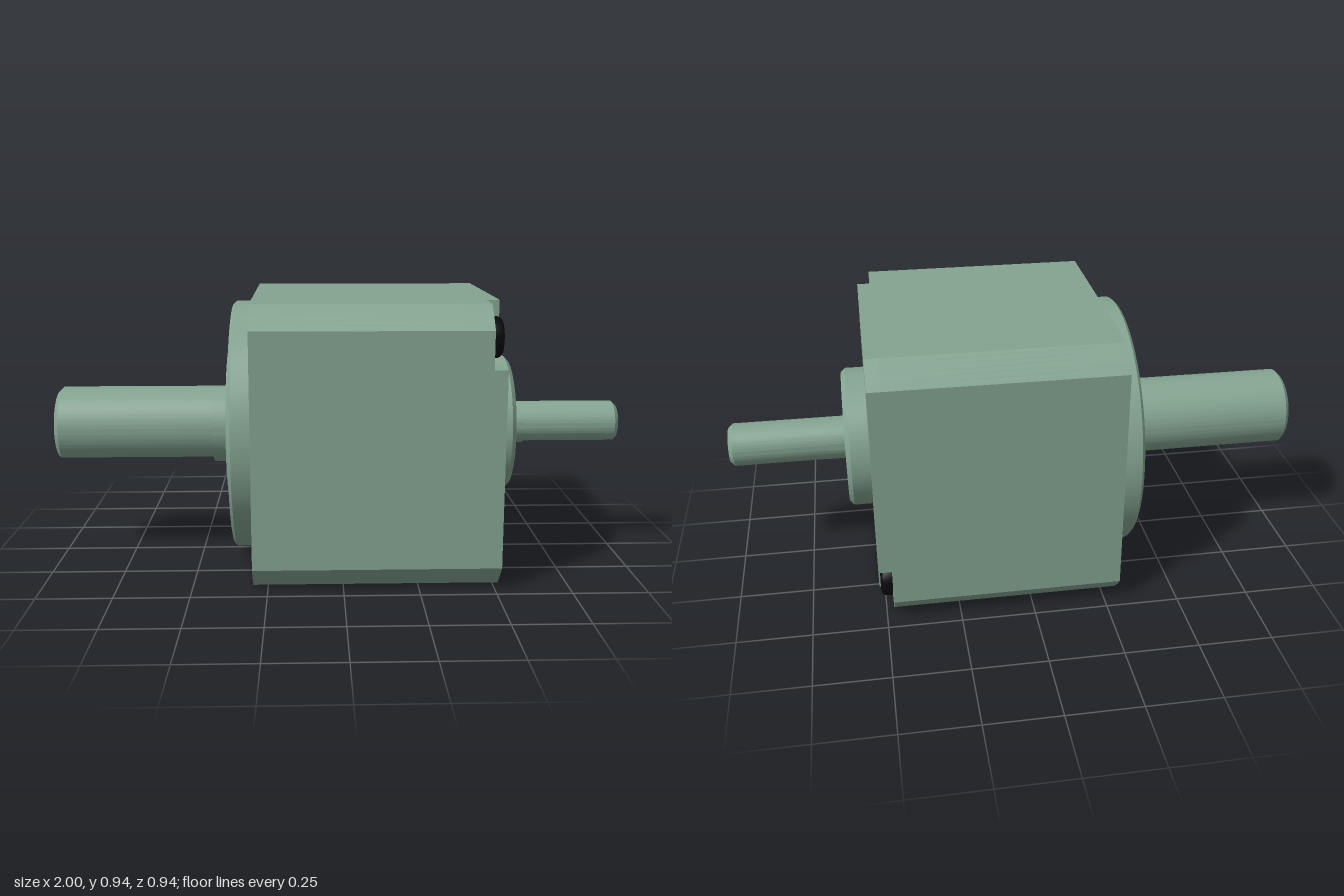
import * as THREE from 'three';
import { toCreasedNormals } from 'three/addons/utils/BufferGeometryUtils.js';

const AXIS = 0.469;   // shaft height, also half the housing width
const CORNER = 0.357; // corner hole offset from the axis
const green = new THREE.MeshStandardMaterial({ color: 0x84a491 });
const black = new THREE.MeshStandardMaterial({ color: 0x0a0a0a });

function part(name, geo, material = green) {
  const mesh = new THREE.Mesh(toCreasedNormals(geo, 0.5), material);
  mesh.name = name;
  return mesh;
}

// Turned part around the x axis; points are [x, radius] with x rising
function turned(points, segments = 96) {
  const geo = new THREE.LatheGeometry(points.map(([x, r]) => new THREE.Vector2(r, x)), segments);
  return geo.rotateZ(-Math.PI / 2);
}

// Shape in the (-z, y) plane, extruded from x0 to x1
function slab(shape, x0, x1) {
  const geo = new THREE.ExtrudeGeometry(shape, { depth: x1 - x0, bevelEnabled: false, curveSegments: 48 });
  return geo.rotateY(Math.PI / 2).translate(x0, 0, 0);
}

// Press every vertex below the given height up onto a flat
function cutFlat(geo, height) {
  const p = geo.attributes.position;
  for (let i = 0; i < p.count; i++) p.setY(i, Math.max(p.getY(i), height));
  return geo;
}

function hole(x, y, r) {
  return new THREE.Path().absarc(x, y, r, 0, Math.PI * 2, true);
}

// Square with arc-cut corners; optionally two opposite corners are notched
function housingShape(notched) {
  const pts = [];
  const a0 = Math.atan2(0.392, AXIS), R = Math.hypot(0.392, AXIS), r = 0.09;
  for (let q = 0; q < 4; q++) {
    const corner = [];
    if (notched && q % 2 === 1) {
      corner.push([AXIS, CORNER - r]);
      for (let i = 0; i <= 16; i++) {
        const a = -Math.PI / 2 * (1 + i / 16);
        corner.push([CORNER + r * Math.cos(a), CORNER + r * Math.sin(a)]);
      }
      corner.push([CORNER - r, AXIS]);
    } else {
      for (let i = 0; i <= 6; i++) {
        const a = a0 + (Math.PI / 2 - 2 * a0) * i / 6;
        corner.push([R * Math.cos(a), R * Math.sin(a)]);
      }
    }
    const origin = new THREE.Vector2();
    corner.forEach(([x, y]) => pts.push(new THREE.Vector2(x, y).rotateAround(origin, q * Math.PI / 2)));
  }
  return new THREE.Shape(pts);
}

export function createModel() {
  const model = new THREE.Group();
  model.name = 'gearedMotor';
  const unit = new THREE.Group();
  unit.name = 'motorUnit';
  unit.position.y = AXIS;
  model.add(unit);

  // Housing with four mounting holes, closed by the notched rear layer
  const main = housingShape(false);
  for (const sx of [-1, 1]) for (const sy of [-1, 1]) main.holes.push(hole(sx * CORNER, sy * CORNER, 0.045));
  unit.add(part('housing', slab(main, -0.3, 0.475)));
  unit.add(part('housingEnd', slab(housingShape(true), 0.475, 0.52)));

  // Output flange with a raised hub carrying four holes
  unit.add(part('flange', turned([
    [-0.39, 0.298], [-0.375, 0.312], [-0.375, 0.43], [-0.365, 0.44], [-0.3, 0.44],
  ])));
  const hub = new THREE.Shape().absarc(0, 0, 0.298, 0, Math.PI * 2, false);
  for (let i = 0; i < 4; i++) {
    const a = i * Math.PI / 2;
    hub.holes.push(hole(0.22 * Math.cos(a), 0.22 * Math.sin(a), 0.038));
  }
  unit.add(part('flangeHub', slab(hub, -0.39, -0.3)));

  // Output shaft: round root, then a D-section with a chamfered tip
  unit.add(part('outputShaftRoot', turned([[-0.45, 0], [-0.45, 0.136], [-0.38, 0.136]])));
  unit.add(part('outputShaft', cutFlat(turned([
    [-1, 0], [-1, 0.121], [-0.985, 0.136], [-0.45, 0.136],
  ], 128), -0.102)));

  // Rear boss
  unit.add(part('rearBoss', turned([
    [0.51, 0.243], [0.585, 0.243], [0.6, 0.228], [0.6, 0],
  ])));

  // Rear shaft, flattened the same way
  unit.add(part('rearShaftRoot', turned([[0.59, 0.075], [0.66, 0.075], [0.66, 0]])));
  unit.add(part('rearShaft', cutFlat(turned([
    [0.66, 0.075], [0.985, 0.075], [1, 0.06], [1, 0],
  ], 128), -0.06)));

  // Through bolts with rounded socket heads in the notches
  for (const s of [-1, 1]) {
    const bolt = part('bolt', turned([
      [-0.297, 0], [-0.297, 0.0445], [0.476, 0.0445], [0.476, 0.068], [0.498, 0.068],
      [0.508, 0.064], [0.514, 0.055], [0.515, 0.045], [0.515, 0.035], [0.495, 0.035], [0.495, 0],
    ], 48), black);
    bolt.position.set(0, s * CORNER, s * CORNER);
    unit.add(bolt);
  }
  return model;
}
